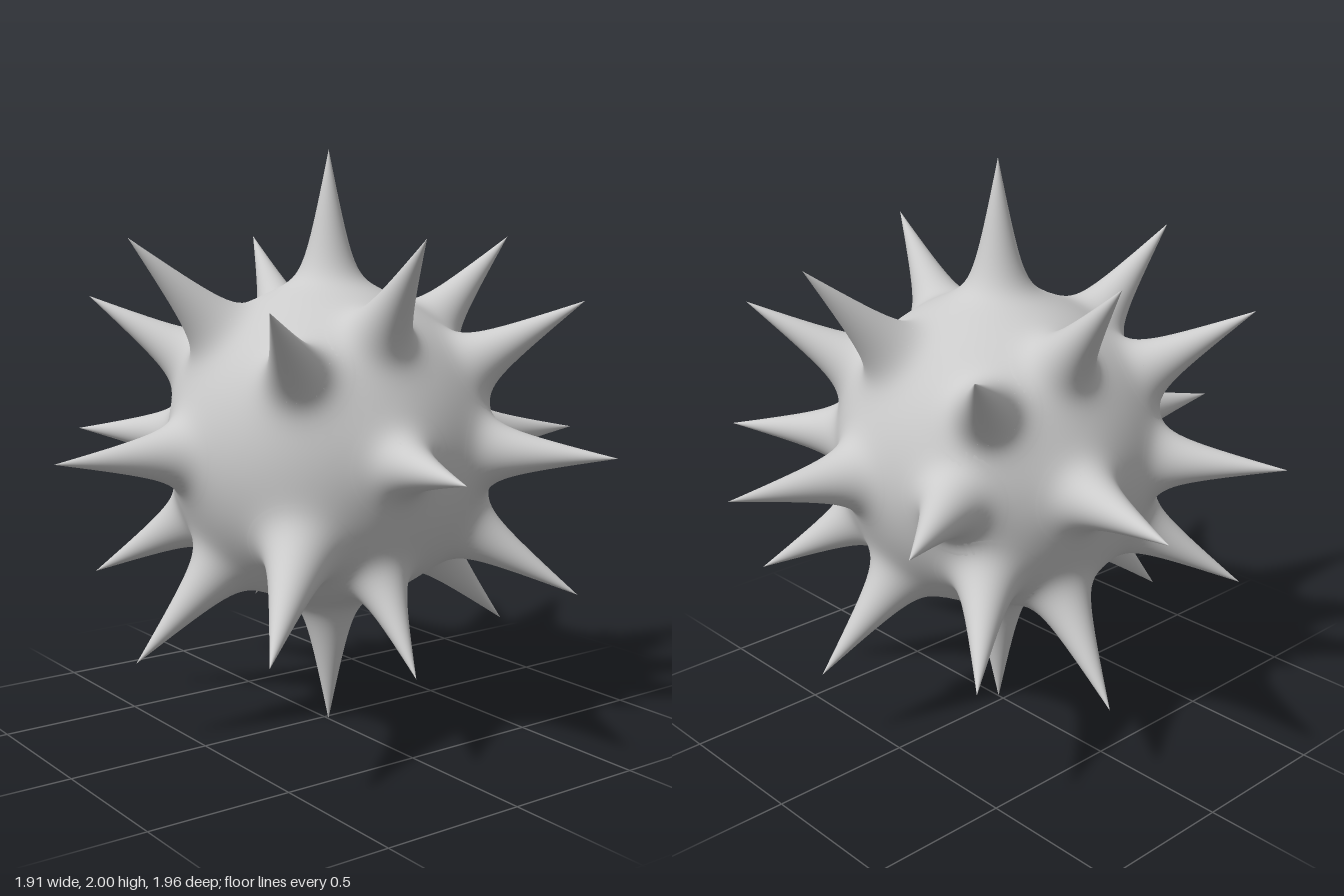
import * as THREE from 'three';
import { mergeVertices } from 'three/addons/utils/BufferGeometryUtils.js';

const CENTRE = new THREE.Vector3(0.025, 1, 0);
const BODY_RADIUS = 0.555;
const SLOPE = 0.2;   // spike half-width per unit of length
const BLEND = 7;     // higher is a tighter fillet between spike and body
const CAP = 0.32;    // angular size of one spike patch
const UP = new THREE.Vector3(0, 1, 0);

// Spike tips relative to the centre
function spikeTips() {
  const tips = [new THREE.Vector3(0, 1, 0), new THREE.Vector3(0, -1, 0)];
  const add = (x, y, z) => tips.push(new THREE.Vector3(x, y, z));
  const polar = (elevation, azimuth) => {
    const e = THREE.MathUtils.degToRad(elevation), a = THREE.MathUtils.degToRad(azimuth);
    add(Math.cos(e) * Math.cos(a), Math.sin(e), Math.cos(e) * Math.sin(a));
  };
  // Equator: a ring of eight with one gap, two of them slightly off
  for (const azimuth of [-33.4, -78.4, -122.2, -167.3, 147.5]) polar(0, azimuth);
  add(0.925, 0, 0.18);
  add(-0.125, 0, 0.98);
  // Steep and shallow rings above and below, two of the lower ones off
  for (let k = 0; k < 4; k++) {
    polar(45, 11.8 + 90 * k);
    polar(30, 47.3 + 90 * k);
    if (k > 0) {
      polar(-45, 11.8 + 90 * k);
      polar(-30, 47.3 + 90 * k);
    }
  }
  add(0.645, -0.66, 0.13);
  add(0.635, -0.53, 0.675);
  return tips;
}

const spikes = spikeTips().map((tip) => ({ length: tip.length(), axis: tip.clone().normalize() }));

// Radius of the surface in a direction: a smooth maximum of the ball and all cones
function surfaceRadius(dir) {
  let sum = BODY_RADIUS ** BLEND;
  for (const { axis, length } of spikes) {
    const c = Math.min(1, dir.dot(axis));
    if (c < 0.3) continue;
    const t = Math.sqrt(1 - c * c) / c;
    sum += (length * SLOPE / ((SLOPE + t) * c)) ** BLEND;
  }
  return sum ** (1 / BLEND);
}

// Moves every vertex of a geometry by a rule and smooths the result
function reshape(geometry, rule) {
  geometry.deleteAttribute('uv');
  geometry.deleteAttribute('normal');
  const result = mergeVertices(geometry, 1e-5);
  const pos = result.attributes.position, v = new THREE.Vector3();
  for (let i = 0; i < pos.count; i++) {
    rule(v.fromBufferAttribute(pos, i).normalize());
    pos.setXYZ(i, v.x, v.y, v.z);
  }
  result.computeVertexNormals();
  return result;
}

export function createModel() {
  const model = new THREE.Group();
  model.name = 'spikedBall';
  const material = new THREE.MeshStandardMaterial({ color: 0xcccccc });
  const addMesh = (name, geometry) => {
    const mesh = new THREE.Mesh(geometry, material);
    mesh.name = name;
    mesh.position.copy(CENTRE);
    model.add(mesh);
  };

  // Ball with the low foot of each spike, just under the spike patches
  addMesh('body', reshape(new THREE.IcosahedronGeometry(1, 40), (v) => {
    v.multiplyScalar(Math.min(0.62, surfaceRadius(v)) - 0.001);
  }));

  // Spikes: caps with rows crowded towards the tip
  spikes.forEach(({ axis }, i) => {
    const turn = new THREE.Quaternion().setFromUnitVectors(UP, axis);
    const cap = new THREE.SphereGeometry(1, 40, 24, 0, Math.PI * 2, 0, CAP);
    addMesh('spike' + (i + 1), reshape(cap, (v) => {
      const angle = Math.atan2(Math.hypot(v.x, v.z), v.y);
      const azimuth = Math.atan2(v.x, v.z);
      v.setFromSphericalCoords(1, CAP * (angle / CAP) ** 1.7, azimuth).applyQuaternion(turn);
      v.multiplyScalar(surfaceRadius(v));
    }));
  });
  return model;
}
